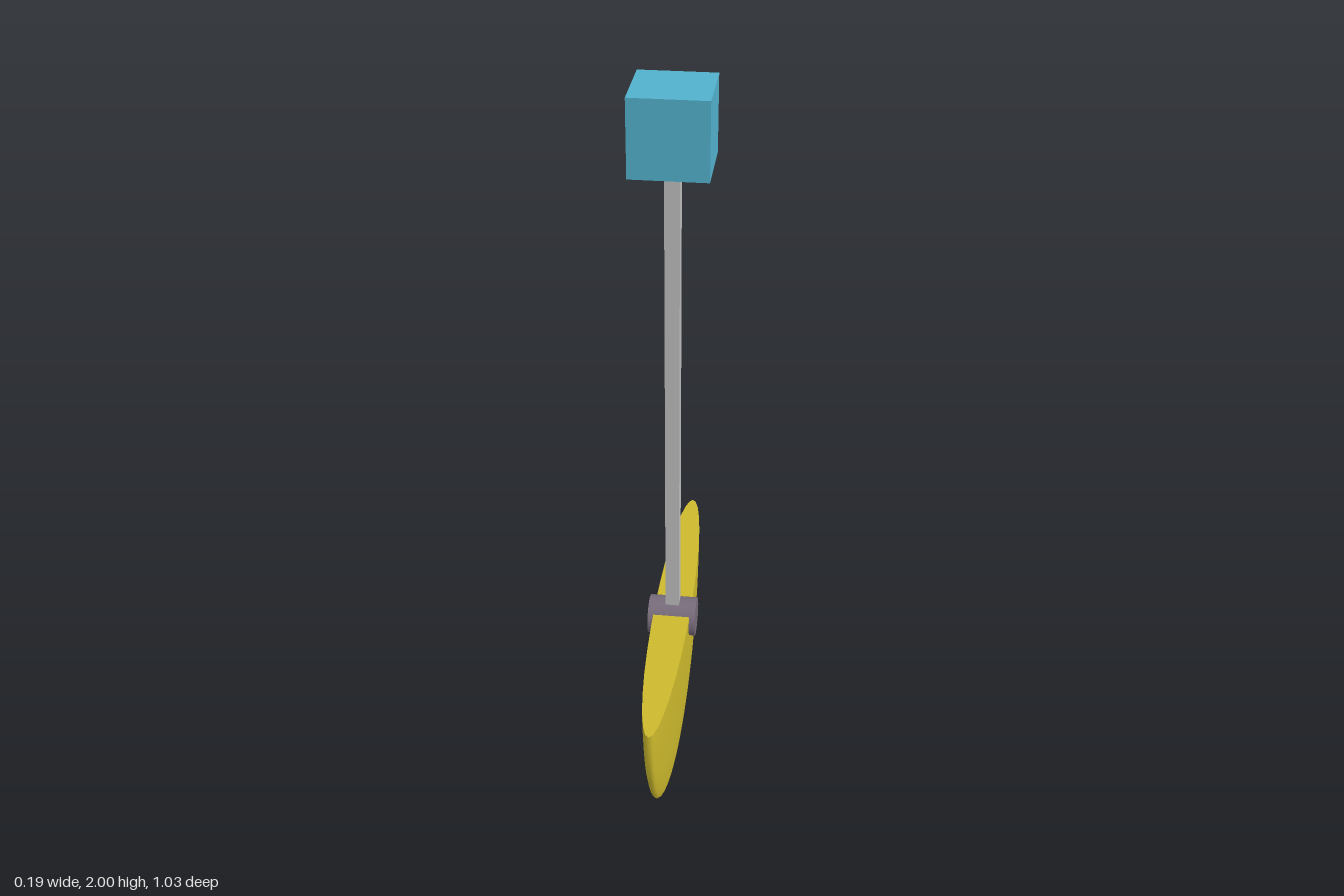
import * as THREE from 'three';

export function createModel() {
  const group = new THREE.Group();
  const mat = (name, color) => {
    const m = new THREE.MeshStandardMaterial({ color });
    m.name = name;
    return m;
  };
  const blue = mat('blue', 0x53b1cd);
  const steel = mat('light grey', 0xbdbdbd);
  const hubGrey = mat('purple grey', 0x786c7b);
  const yellow = mat('yellow', 0xcdba2d);

  const add = (name, geometry, material, y) => {
    const mesh = new THREE.Mesh(geometry, material);
    mesh.name = name;
    mesh.position.y = y;
    group.add(mesh);
    return mesh;
  };

  // Mounting block and the square rod hanging from it
  add('mountBlock', new THREE.BoxGeometry(0.188, 0.188, 0.188), blue, 1.906);
  add('rod', new THREE.BoxGeometry(0.037, 1.33, 0.037), steel, 1.16);

  // Hub pin across the blade
  const pin = new THREE.CylinderGeometry(0.053, 0.053, 0.13, 16);
  pin.rotateZ(Math.PI / 2);
  add('hubPin', pin, hubGrey, 0.494);

  // Blade: lower half of a flattened ellipsoid, closed by a flat top
  const rimY = 0.524, halfX = 0.05, halfZ = 0.517;
  const bowl = new THREE.SphereGeometry(1, 32, 16, 0, Math.PI * 2, Math.PI / 2, Math.PI / 2);
  bowl.scale(halfX, rimY, halfZ);
  add('blade', bowl, yellow, rimY);
  const lid = new THREE.CircleGeometry(1, 32);
  lid.rotateX(-Math.PI / 2);
  lid.scale(halfX, 1, halfZ);
  add('bladeTop', lid, yellow, rimY);

  return group;
}
